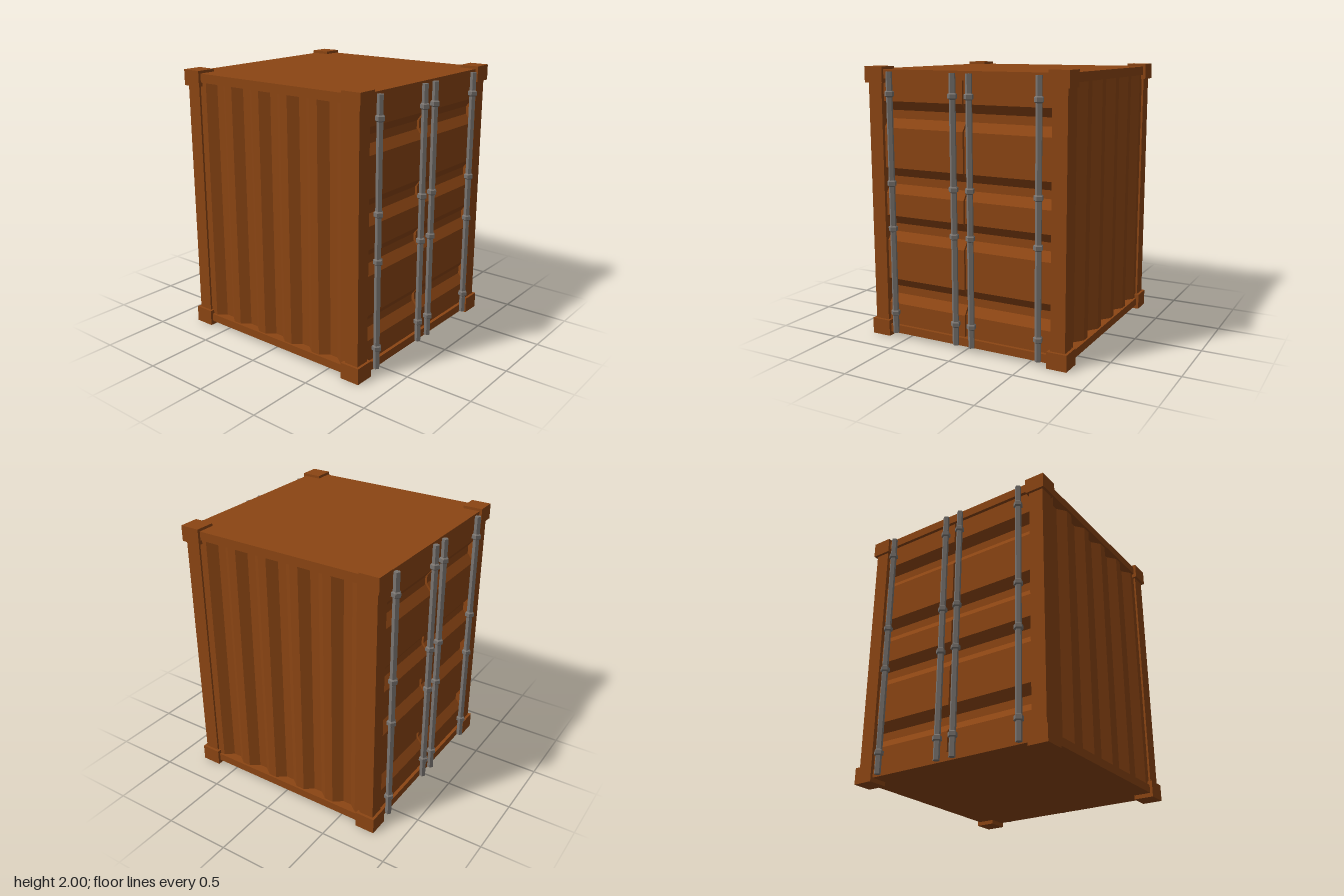
import * as THREE from 'three';

const paint = new THREE.MeshStandardMaterial({ color: 0x8b4513, flatShading: true });
const steel = new THREE.MeshStandardMaterial({ color: 0x78736f, flatShading: true });

function add(parent, name, geometry, material, x = 0, y = 0, z = 0) {
  const mesh = new THREE.Mesh(geometry, material);
  mesh.name = name;
  mesh.position.set(x, y, z);
  parent.add(mesh);
  return mesh;
}

// Pressed sheet: u runs across the grooves, v points outward, extruded along the grooves.
function corrugated(from, to, grooves, width, slope, depth, length) {
  const shape = new THREE.Shape();
  shape.moveTo(from, -depth - 0.02);
  shape.lineTo(to, -depth - 0.02);
  shape.lineTo(to, 0);
  for (const top of grooves) { // listed from high u to low u
    shape.lineTo(top, 0);
    shape.lineTo(top - slope, -depth);
    shape.lineTo(top - width + slope, -depth);
    shape.lineTo(top - width, 0);
  }
  shape.lineTo(from, 0);
  return new THREE.ExtrudeGeometry(shape, { depth: length, bevelEnabled: false });
}

const X = new THREE.Vector3(1, 0, 0);
const Y = new THREE.Vector3(0, 1, 0);
const Z = new THREE.Vector3(0, 0, 1);
const doorTurn = new THREE.Matrix4().makeBasis(Y, Z, X);
const sideTurn = new THREE.Matrix4().makeBasis(Z, X, Y);

function doorSheet(width) {
  return corrugated(0.08, 1.925, [1.755, 1.275, 0.92, 0.44], 0.19, 0.065, 0.05, width)
    .applyMatrix4(doorTurn);
}

// Pentagonal bar with four bevelled collars
function lockingRod(x) {
  const rod = new THREE.Group();
  rod.name = 'lockingRod';
  rod.position.set(x, 0, 0.8);
  add(rod, 'rodBar', new THREE.CylinderGeometry(0.024, 0.024, 1.925, 5), steel, 0, 1.0025, 0);
  const profile = [[0.022, -0.024], [0.035, -0.014], [0.035, 0.014], [0.022, 0.024]]
    .map(([r, y]) => new THREE.Vector2(r, y));
  for (const y of [0.195, 0.835, 1.17, 1.81]) {
    add(rod, 'rodCollar', new THREE.LatheGeometry(profile, 5), steel, 0, y, 0);
  }
  return rod;
}

// One door end with its two corners, plus one long side
function halfContainer() {
  const half = new THREE.Group();
  half.name = 'containerHalf';

  for (const s of [-1, 1]) {
    add(half, 'cornerPost', new THREE.BoxGeometry(0.11, 1.86, 0.11), paint, s * 0.725, 1, 0.725);
    for (const y of [0.06, 1.9425]) {
      const h = y < 1 ? 0.12 : 0.115;
      add(half, 'cornerCasting', new THREE.BoxGeometry(0.15, h, 0.15), paint, s * 0.725, y, 0.725);
    }
    // Door leaves either side of the centre gap
    add(half, 'doorLeaf', doorSheet(0.66), paint, s > 0 ? 0.015 : -0.675, 0, 0.755);
    for (const x of [0.065, 0.588]) half.add(lockingRod(s * x));
  }
  add(half, 'doorSeal', doorSheet(0.08), paint, -0.04, 0, 0.735);

  const side = corrugated(-0.675, 0.675, [0.615, 0.355, 0.095, -0.165, -0.425],
    0.195, 0.065, 0.05, 1.845).applyMatrix4(sideTurn);
  add(half, 'sidePanel', side, paint, 0.765, 0.08, 0);
  return half;
}

export function createModel() {
  const model = new THREE.Group();
  model.name = 'shippingContainer';

  // Roof and floor slabs, whose edges form the rails
  add(model, 'roof', new THREE.BoxGeometry(1.56, 0.065, 1.56), paint, 0, 1.9475, 0);
  add(model, 'floor', new THREE.BoxGeometry(1.56, 0.06, 1.56), paint, 0, 0.06, 0);

  // Both ends match, so the second half is the first turned around
  for (const angle of [0, Math.PI]) {
    const half = halfContainer();
    half.rotation.y = angle;
    model.add(half);
  }
  return model;
}
